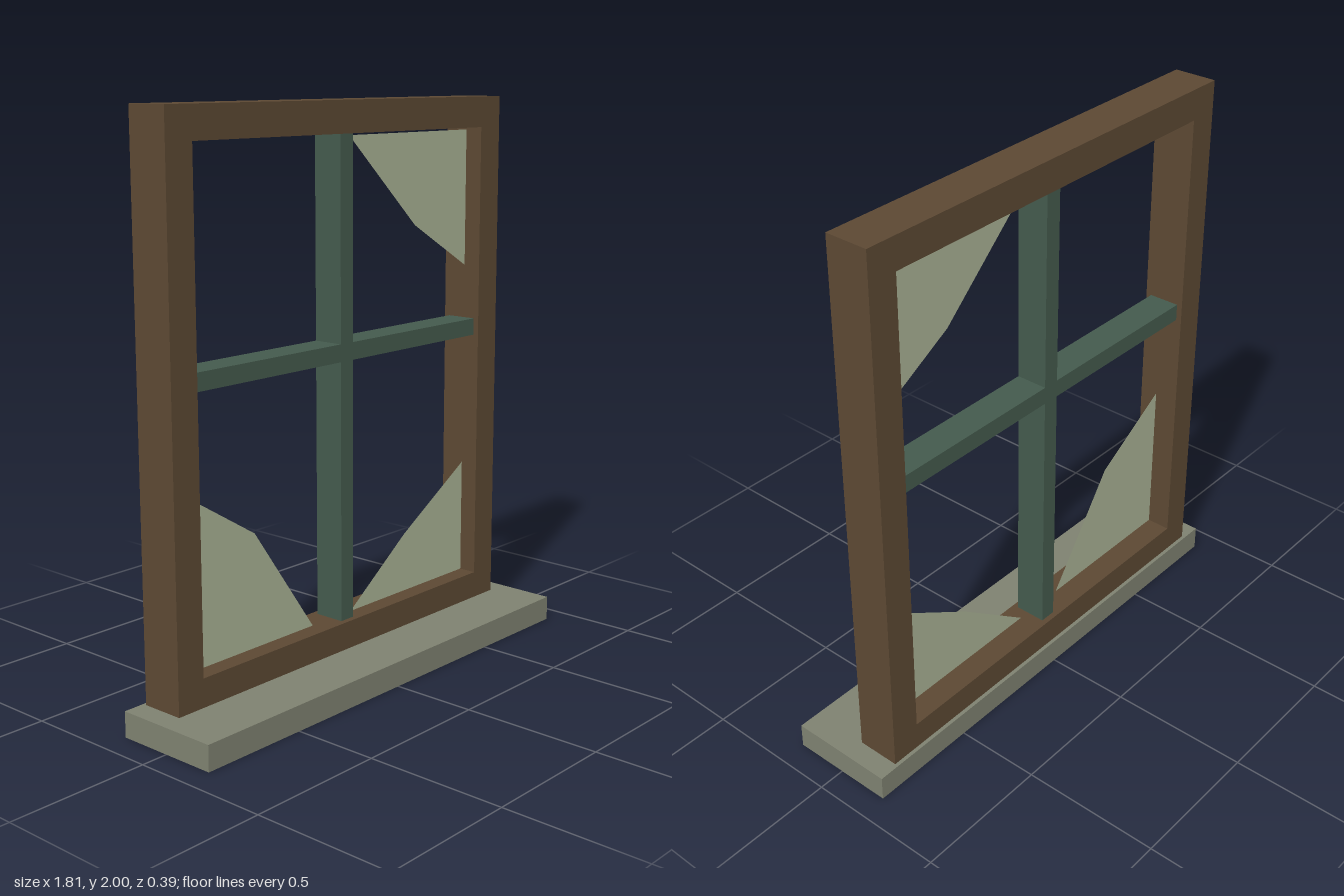
import * as THREE from 'three';

const material = (name, color, side = THREE.FrontSide) => {
  const m = new THREE.MeshStandardMaterial({ color, side });
  m.name = name;
  return m;
};

export function createModel() {
  const wood = material('brown wood', 0x5c4833);
  const paint = material('dark green paint', 0x445a4d);
  const stone = material('grey sill', 0x7e8170);
  const glass = material('pale green glass', 0xa9b294, THREE.DoubleSide);

  const group = new THREE.Group();
  group.name = 'brokenWindow';
  const add = (name, geometry, mat, x = 0, y = 0, z = 0) => {
    const mesh = new THREE.Mesh(geometry, mat);
    mesh.name = name;
    mesh.position.set(x, y, z);
    group.add(mesh);
  };
  const polygon = (points) => new THREE.Shape(points.map(([x, y]) => new THREE.Vector2(x, y)));
  const rectangle = (x, y0, y1) => polygon([[-x, y0], [x, y0], [x, y1], [-x, y1]]);

  const midZ = -0.101, frameDepth = 0.157, barDepth = 0.115;
  const innerX = 0.716, innerBottom = 0.19, innerTop = 1.89, barWidth = 0.062;

  // Sill
  add('sill', new THREE.BoxGeometry(1.806, 0.09, 0.386), stone, 0, 0.045, 0);

  // Outer frame with one opening
  const outline = rectangle(0.825, 0.09, 2);
  outline.holes.push(rectangle(innerX, innerBottom, innerTop));
  add('frame', new THREE.ExtrudeGeometry(outline, { depth: frameDepth, bevelEnabled: false }),
    wood, 0, 0, midZ - frameDepth / 2);

  // Crossing bars
  add('verticalBar', new THREE.BoxGeometry(barWidth, innerTop - innerBottom, barDepth),
    paint, 0, (innerTop + innerBottom) / 2, midZ);
  const halfLength = innerX - barWidth / 2;
  for (const [name, side] of [['leftBar', 1], ['rightBar', -1]]) {
    add(name, new THREE.BoxGeometry(halfLength, barWidth, barDepth),
      paint, side * (barWidth + halfLength * 1) / 2, 1.151, midZ);
  }

  // Broken panes left in the corners
  const shards = {
    lowerRightShard: [[-innerX, 0.19], [-0.13, 0.19], [-0.41, 0.59], [-innerX, 0.78]],
    lowerLeftShard: [[0.07, 0.19], [innerX, 0.19], [innerX, 0.62], [0.37, 0.41]],
    upperLeftShard: [[0.065, 1.88], [0.42, 1.55], [innerX, 1.38], [innerX, 1.88]],
  };
  for (const [name, points] of Object.entries(shards)) {
    add(name, new THREE.ShapeGeometry(polygon(points)), glass, 0, 0, -0.09);
  }
  return group;
}
